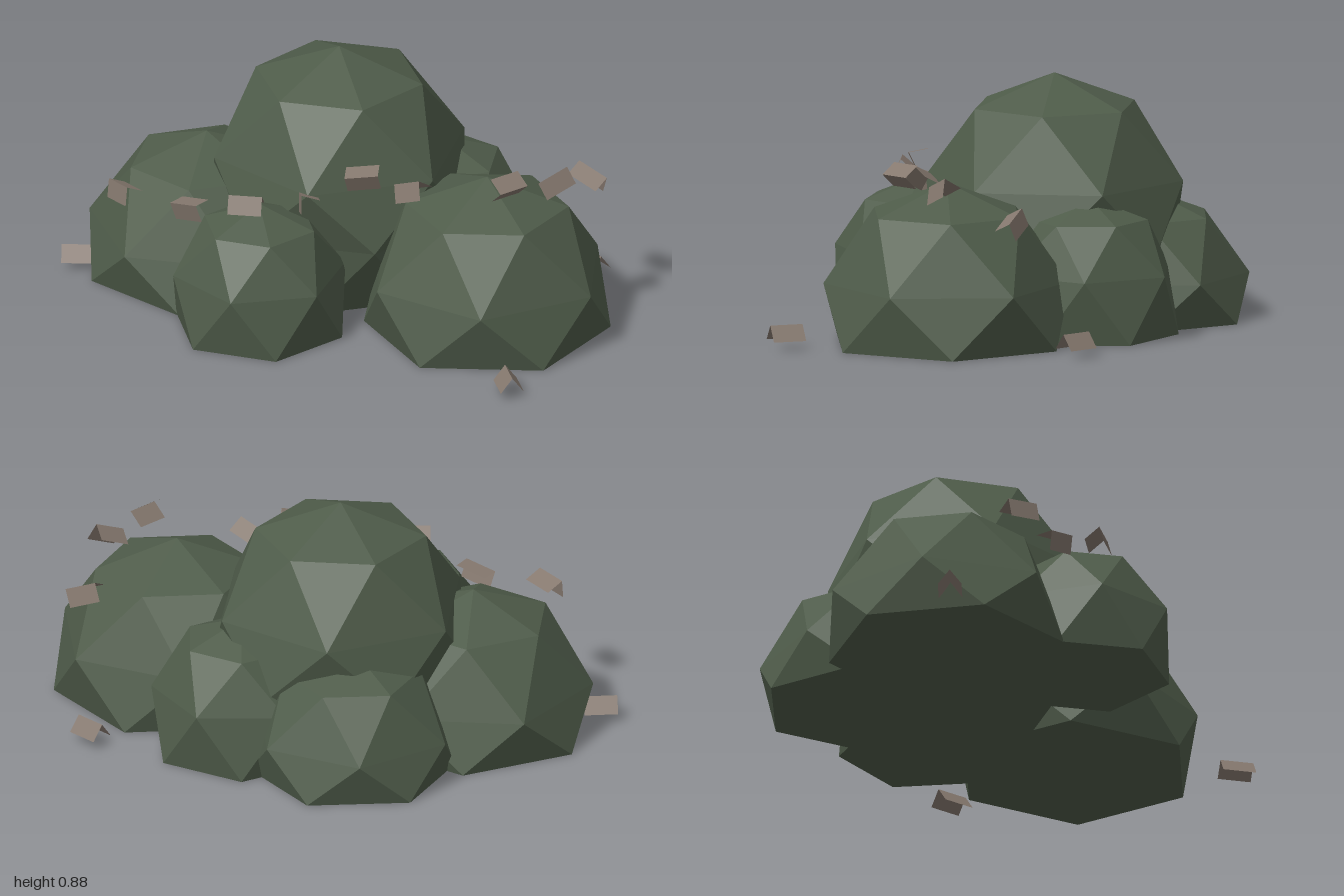
import * as THREE from 'three';

const foliage = new THREE.MeshStandardMaterial({ color: 0x4f5c4a });
foliage.name = 'foliageGreen';
foliage.flatShading = true;
const leafBrown = new THREE.MeshStandardMaterial({ color: 0x85786e, side: THREE.DoubleSide });
leafBrown.name = 'dryLeafBrown';
leafBrown.flatShading = true;

// Faceted dome: a top point, then hexagonal rings each turned half a step, closed by a flat base.
// rings: [radius, height, turned]
function domeGeometry(top, rings, phase) {
  const pos = [0, top, 0];
  const index = [];
  const step = Math.PI / 3;
  rings.forEach(([r, y, turned]) => {
    for (let i = 0; i < 6; i++) {
      const a = phase + (i + (turned ? 0.5 : 0)) * step;
      pos.push(Math.cos(a) * r, y, Math.sin(a) * r);
    }
  });
  const at = (ring, i) => 1 + ring * 6 + ((i + 6) % 6);
  for (let i = 0; i < 6; i++) index.push(0, at(0, i + 1), at(0, i));
  for (let k = 0; k < rings.length - 1; k++) {
    for (let i = 0; i < 6; i++) {
      if (rings[k][2]) {
        index.push(at(k, i), at(k, i + 1), at(k + 1, i + 1));
        index.push(at(k, i), at(k + 1, i + 1), at(k + 1, i));
      } else {
        index.push(at(k, i), at(k, i + 1), at(k + 1, i));
        index.push(at(k, i), at(k + 1, i), at(k + 1, i - 1));
      }
    }
  }
  const last = rings.length - 1;
  pos.push(0, rings[last][1], 0);
  const base = pos.length / 3 - 1;
  for (let i = 0; i < 6; i++) index.push(base, at(last, i), at(last, i + 1));
  return finish(pos, index);
}

function finish(pos, index) {
  const g = new THREE.BufferGeometry();
  g.setAttribute('position', new THREE.Float32BufferAttribute(pos, 3));
  g.setIndex(index);
  const flat = g.toNonIndexed();
  flat.computeVertexNormals();
  return flat;
}

// Small folded leaf: two square halves meeting in a ridge
function leafGeometry() {
  const w = 0.06, h = 0.055, d = 0.042;
  const pos = [-w, 0, d, w, 0, d, w, h, 0, -w, h, 0, -w, 0, -d, w, 0, -d];
  return finish(pos, [0, 1, 2, 0, 2, 3, 3, 2, 5, 3, 5, 4]);
}

export function createModel() {
  const model = new THREE.Group();
  model.name = 'bush';

  // Clumps: name, x, z, radius, top height, phase in degrees
  const clumps = [
    ['crownClump', -0.21, -0.08, 0.46, 0.88, 1],
    ['leftFrontClump', 0.47, -0.12, 0.437, 0.575, -10],
    ['rightClump', -0.58, 0.21, 0.425, 0.53, 30],
    ['frontClump', -0.11, 0.44, 0.31, 0.475, 6],
    ['backClump', 0.0, -0.39, 0.32, 0.49, 25],
    ['backRightClump', -0.43, -0.32, 0.365, 0.46, -9],
  ];
  for (const [name, x, z, r, top, deg] of clumps) {
    const upper = top - 0.82 * r;
    const rings = [[0.66 * r, top - 0.25 * r, true], [r, upper, false]];
    if (upper > 0.4) rings.push([r, upper - 0.23, true], [0.8 * r, 0, false]);
    else rings.push([r, 0, true]);
    const mesh = new THREE.Mesh(domeGeometry(top, rings, THREE.MathUtils.degToRad(deg)), foliage);
    mesh.name = name;
    mesh.position.set(x, 0, z);
    model.add(mesh);
  }

  // Scattered leaves: x, y, z, then tilt, turn and roll
  const leaves = [
    [-0.91, 0.03, 0.52, 0, 0.7, 0],
    [-0.62, 0.4, 0.59, 0.5, -0.2, 0.1],
    [-0.36, 0.4, 0.52, 0.9, 0.3, 0.3],
    [-0.11, 0.48, 0.51, 0.2, 0.6, 0],
    [0.04, 0.48, 0.34, 0.6, -0.5, 0.4],
    [0.18, 0.59, 0.21, 1.1, 0.9, 0.3],
    [0.32, 0.53, 0.1, 0.3, 0.2, 0.4],
    [0.62, 0.61, -0.05, 1.5, 1.5, 0.1],
    [0.67, 0.56, -0.26, 0.3, 1.3, 0.4],
    [0.59, 0.46, -0.5, -0.4, 0.4, -0.4],
    [0.45, 0.03, -0.68, 0, -0.2, 0],
    [0.92, 0.03, 0.25, 0, -0.6, 0],
  ];
  const leafShape = leafGeometry();
  leaves.forEach(([x, y, z, rx, ry, rz], i) => {
    const leaf = new THREE.Mesh(leafShape, leafBrown);
    leaf.name = 'looseLeaf' + (i + 1);
    leaf.position.set(x, y, z);
    leaf.rotation.set(rx, ry, rz, 'YXZ');
    model.add(leaf);
  });
  return model;
}
